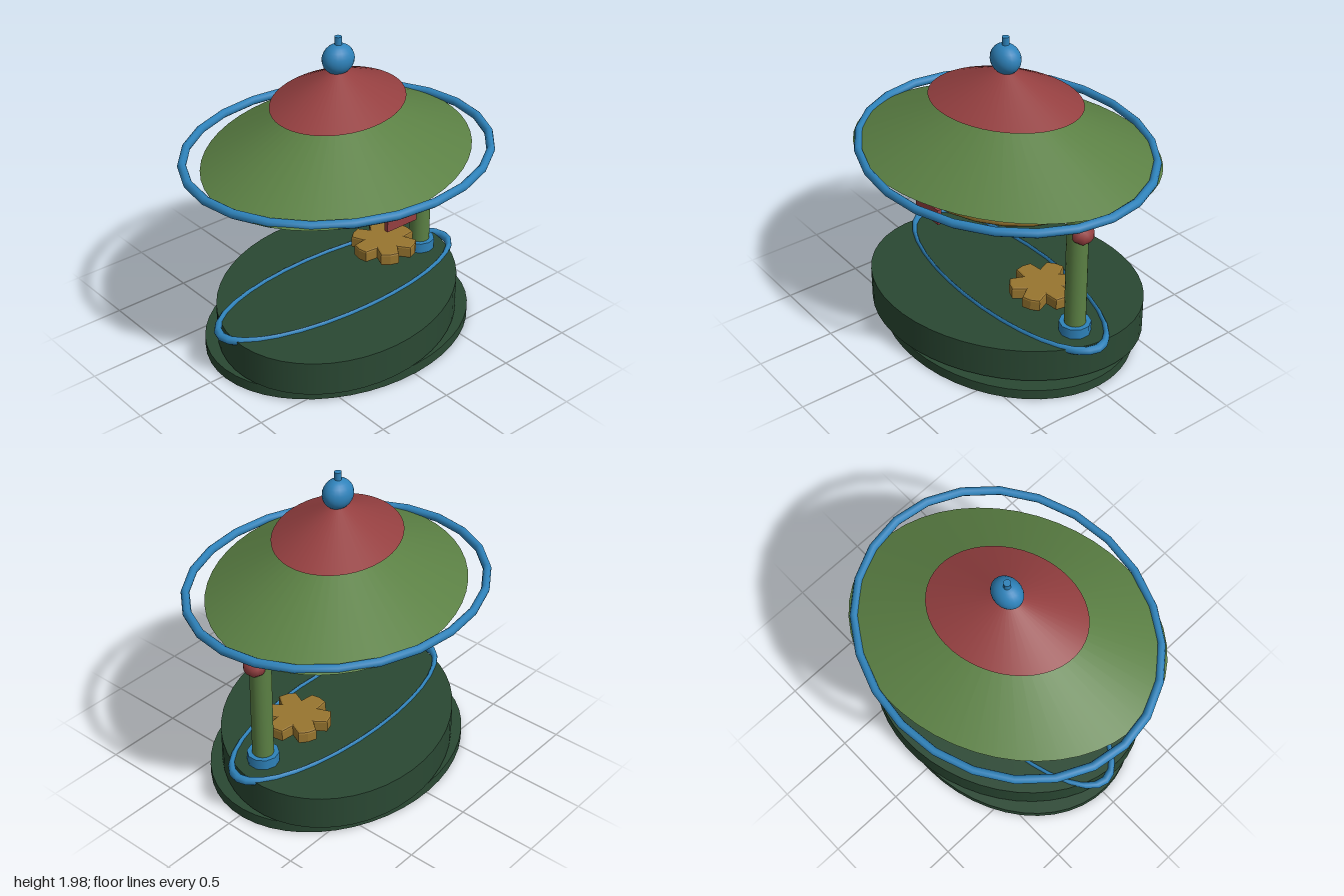
import * as THREE from 'three';

const mat = (name, color) => {
  const m = new THREE.MeshStandardMaterial({ color });
  m.name = name;
  return m;
};

export function createModel() {
  const model = new THREE.Group();
  model.name = 'canopyStand';

  const blue = mat('blue', 0x2e82ba);
  const red = mat('brickRed', 0x943f40);
  const green = mat('leafGreen', 0x5b8044);
  const darkGreen = mat('darkGreen', 0x2a4833);
  const gold = mat('gold', 0x98752f);

  const add = (name, geometry, material, x = 0, y = 0, z = 0) => {
    const mesh = new THREE.Mesh(geometry, material);
    mesh.name = name;
    mesh.position.set(x, y, z);
    model.add(mesh);
    return mesh;
  };

  // Oval disc or cone: rx wide, squashed in depth, then turned about y
  const oval = (name, material, topR, rx, y0, y1, squash, turn) => {
    const mesh = add(name, new THREE.CylinderGeometry(topR, rx, y1 - y0, 48), material, 0, (y0 + y1) / 2);
    mesh.scale.z = squash;
    mesh.rotation.y = turn;
  };

  // Horizontal oval hoop with outer half-widths outerX and outerZ
  const hoop = (name, material, outerX, outerZ, tube, y, turn = 0, segments = 24) => {
    const geometry = new THREE.TorusGeometry(outerX - tube, tube, 10, segments).rotateX(Math.PI / 2);
    const mesh = add(name, geometry, material, 0, y);
    mesh.scale.z = outerZ / outerX;
    mesh.rotation.y = turn;
  };

  // Two-step base
  oval('baseFoot', darkGreen, 0.905, 0.905, 0, 0.066, 0.795, 0.03);
  oval('baseDrum', darkGreen, 0.9, 0.9, 0.078, 0.298, 0.785, 0.4);
  hoop('baseTrack', blue, 0.93, 0.333, 0.027, 0.291, 0, 32);

  // Post with collar and knob
  add('postCollar', new THREE.CylinderGeometry(0.098, 0.098, 0.068, 10), blue, 0.686, 0.331);
  add('post', new THREE.CylinderGeometry(0.066, 0.066, 0.885, 20), green, 0.686, 0.742);
  const knob = new THREE.SphereGeometry(0.062, 8, 6).rotateY(Math.PI / 8).rotateZ(Math.PI / 2);
  add('postKnob', knob, red, 0.735, 1.012).scale.z = 1.18;

  // Six-toothed gear with V notches
  const bevel = 0.012;
  const teeth = 6;
  const outline = [];
  for (let i = 0; i < teeth; i++) {
    const a = (i / teeth) * Math.PI * 2;
    for (const [da, r] of [[-0.24, 0.193], [0, 0.196], [0.24, 0.193], [Math.PI / teeth, 0.115]]) {
      outline.push(new THREE.Vector2(r * Math.cos(a + da), r * Math.sin(a + da)));
    }
  }
  const gear = new THREE.ExtrudeGeometry(new THREE.Shape(outline), {
    depth: 0.08 - 2 * bevel, bevelEnabled: true, bevelSize: bevel, bevelThickness: bevel, bevelSegments: 2,
  });
  gear.translate(0, 0, bevel - 0.04).rotateX(-Math.PI / 2);
  add('gear', gear, gold, 0.378, 0.437);

  // Hanging sign plate
  add('signPlate', new THREE.BoxGeometry(0.225, 0.1, 0.027), red, 0, 1.027, 0.564);

  // Hoops under the canopy and around its rim
  hoop('lowerHoop', gold, 0.698, 0.608, 0.031, 1.131, 0.06);
  hoop('middleHoop', red, 0.745, 0.643, 0.03, 1.214, -0.04);
  hoop('rimHoop', blue, 1.0, 0.865, 0.028, 1.25);

  // Two-tier canopy
  oval('canopy', green, 0.001, 0.97, 1.238, 1.668, 0.785, 0.4);
  oval('canopyCap', red, 0.001, 0.483, 1.575, 1.789, 0.785, 0.4);

  // Finial
  add('finialBall', new THREE.SphereGeometry(0.104, 20, 14), blue, 0, 1.838).scale.set(1, 0.9, 0.82);
  add('finialStem', new THREE.CylinderGeometry(0.022, 0.022, 0.09, 12), blue, 0, 1.933);

  return model;
}
